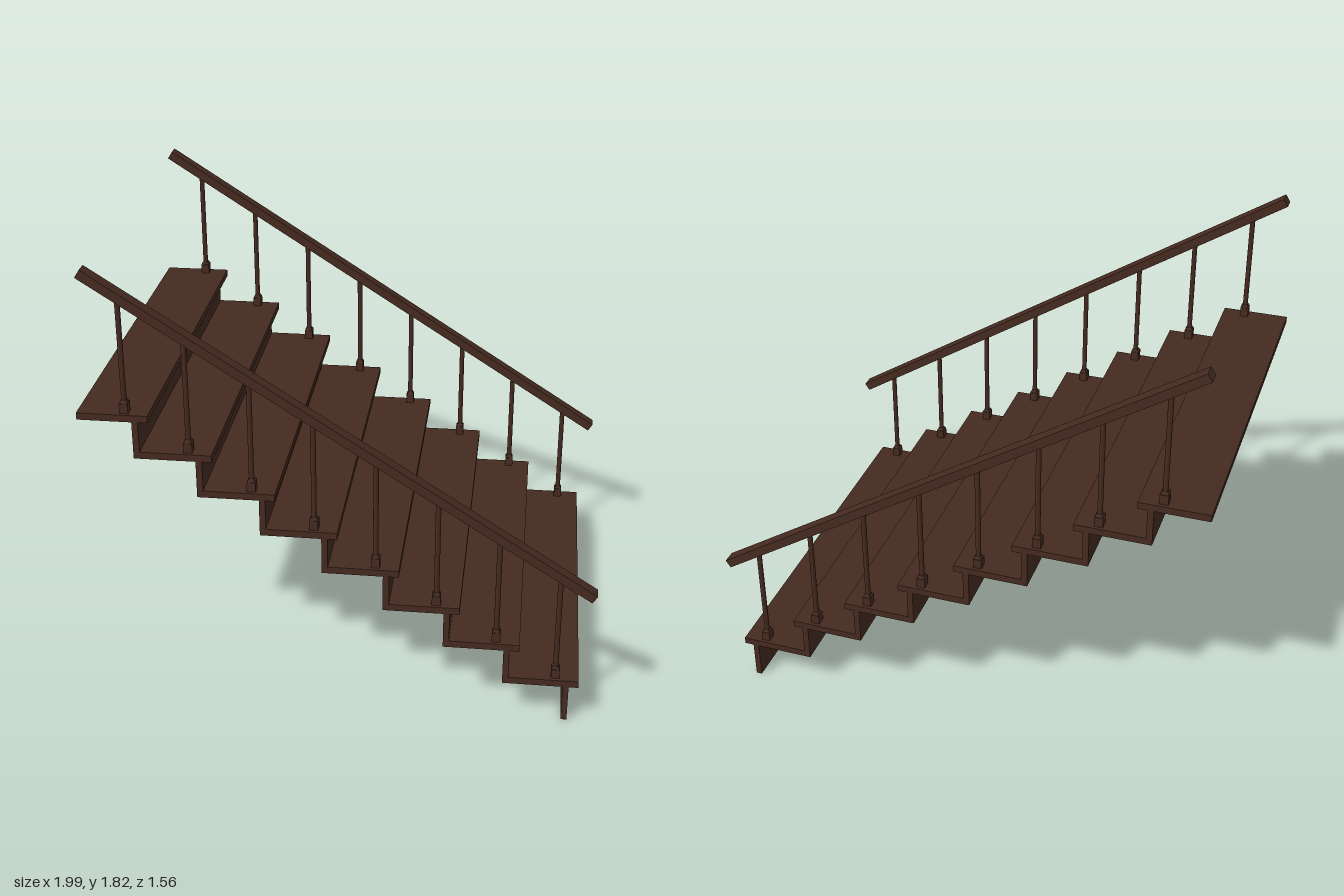
import * as THREE from 'three';

const STEPS = 8, RUN = 0.2385, RISE = 0.1525;
const HALF_WIDTH = 0.78, RAIL_Z = 0.747;

export function createModel() {
  const model = new THREE.Group();
  model.name = 'staircase';
  const wood = new THREE.MeshStandardMaterial({ color: 0x452a20 });
  wood.name = 'dark brown wood';

  const add = (parent, name, geometry, x, y, z) => {
    const mesh = new THREE.Mesh(geometry, wood);
    mesh.name = name;
    mesh.position.set(x, y, z);
    parent.add(mesh);
    return mesh;
  };
  // Box given by its x and y limits, spanning the full stair width
  const board = (name, x0, x1, y0, y1) =>
    add(model, name, new THREE.BoxGeometry(x1 - x0, y1 - y0, HALF_WIDTH * 2), (x0 + x1) / 2, (y0 + y1) / 2, 0);

  // Treads and risers, from the bottom step upward
  for (let i = 0; i < STEPS; i++) {
    const dx = -i * RUN, dy = i * RISE;
    board('tread', Math.max(-1, 0.645 + dx), 0.943 + dx, 0.156 + dy, 0.184 + dy);
    board('riser', 0.881 + dx, 0.905 + dx, dy + (i ? 0.004 : 0), 0.156 + dy);
  }

  // Handrail line
  const top = new THREE.Vector2(-0.954, 1.808), bottom = new THREE.Vector2(0.983, 0.563);
  const slope = (bottom.y - top.y) / (bottom.x - top.x);
  const railY = (x) => top.y + (x - top.x) * slope;

  for (const side of [1, -1]) {
    const balustrade = new THREE.Group();
    balustrade.name = side > 0 ? 'frontBalustrade' : 'backBalustrade';
    balustrade.position.z = side * RAIL_Z;
    model.add(balustrade);

    const rail = add(balustrade, 'handrail', new THREE.BoxGeometry(top.distanceTo(bottom), 0.036, 0.054),
      (top.x + bottom.x) / 2, (top.y + bottom.y) / 2, 0);
    rail.rotation.z = Math.atan(slope);

    // One baluster per tread, with a square foot and a tapered collar
    for (let i = 0; i < STEPS; i++) {
      const x = 0.85 - i * RUN, y = 0.184 + i * RISE, h = railY(x) - y;
      add(balustrade, 'balusterFoot', new THREE.BoxGeometry(0.034, 0.04, 0.038), x, y + 0.02, 0);
      const collar = new THREE.CylinderGeometry(0.015, 0.0235, 0.012, 4).rotateY(Math.PI / 4).toNonIndexed();
      collar.computeVertexNormals();
      add(balustrade, 'balusterCollar', collar, x, y + 0.046, 0);
      add(balustrade, 'baluster', new THREE.CylinderGeometry(0.0105, 0.0105, h, 12), x, y + h / 2, 0);
    }
  }
  return model;
}
